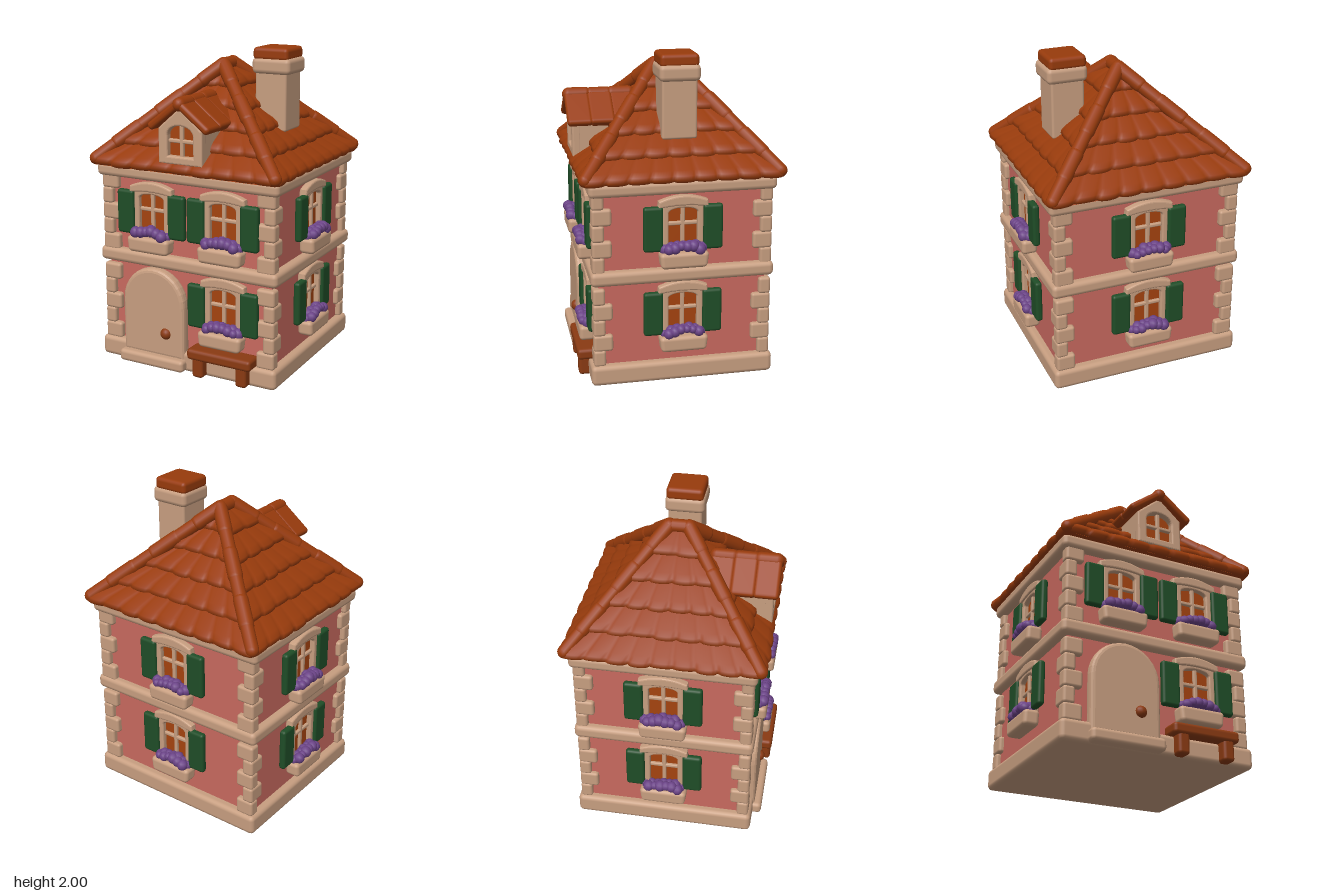
import * as THREE from 'three';
import { RoundedBoxGeometry } from 'three/addons/geometries/RoundedBoxGeometry.js';

const mat = (name, color, side = THREE.FrontSide) => {
  const m = new THREE.MeshStandardMaterial({ color, side });
  m.name = name;
  return m;
};
const M = {
  roof: mat('terracotta roof', 0x983b0c, THREE.DoubleSide),
  stone: mat('cream stone', 0xc79e80),
  wall: mat('pink plaster', 0xc8695f),
  green: mat('shutter green', 0x1f4d27),
  purple: mat('flower purple', 0x6c4488),
  teal: mat('door teal', 0x0a676d),
  wood: mat('bench wood', 0x8a3a12),
  glass: mat('amber glass', 0xa5430f),
};
const ZC = -0.015; // middle of the house in depth

let seed = 7;
const rand = () => (seed = (seed * 16807) % 2147483647) / 2147483647;

function add(parent, name, geo, material, x = 0, y = 0, z = 0) {
  const m = new THREE.Mesh(geo, material);
  m.name = name;
  m.position.set(x, y, z);
  parent.add(m);
  return m;
}
const box = (parent, name, material, w, h, d, x, y, z, r = 0.02) =>
  add(parent, name, new RoundedBoxGeometry(w, h, d, 2, r), material, x, y, z);
const group = (parent, name) => {
  const g = new THREE.Group();
  g.name = name;
  parent.add(g);
  return g;
};

// Upright outline with straight sides and a curved top of the given rise
function archPath(Type, half, bottom, spring, rise) {
  const p = new Type();
  p.moveTo(-half, bottom);
  p.lineTo(half, bottom);
  p.lineTo(half, spring);
  for (let i = 1; i <= 16; i++) {
    const a = (i / 16) * Math.PI;
    p.lineTo(half * Math.cos(a), spring + rise * Math.sin(a));
  }
  p.closePath();
  return p;
}
const extrude = (shape, depth, bevel) => new THREE.ExtrudeGeometry(shape, {
  depth: depth - 2 * bevel, bevelEnabled: bevel > 0, bevelSize: bevel,
  bevelThickness: bevel, bevelOffset: -bevel, bevelSegments: 3, curveSegments: 16,
}).translate(0, 0, bevel);

// Window with shutters, planter and flowers; wall plane is local z = 0
function addWindow(parent, x, y, z, turn) {
  const g = group(parent, 'window');
  g.position.set(x, y, z);
  g.rotation.y = turn;
  const frame = archPath(THREE.Shape, 0.125, 0.29, 0.59, 0.03);
  frame.holes.push(archPath(THREE.Path, 0.088, 0.32, 0.545, 0.03));
  add(g, 'windowFrame', extrude(frame, 0.04, 0.01), M.stone);
  add(g, 'windowGlass', new THREE.BoxGeometry(0.2, 0.27, 0.009), M.glass, 0, 0.45, 0.003);
  box(g, 'windowMullion', M.stone, 0.026, 0.26, 0.024, 0, 0.45, 0.014, 0.008);
  box(g, 'windowCrossbar', M.stone, 0.18, 0.024, 0.024, 0, 0.475, 0.014, 0.008);
  // curved lintel
  const lintel = new THREE.Shape();
  lintel.moveTo(-0.155, 0.575);
  lintel.quadraticCurveTo(0, 0.605, 0.155, 0.575);
  lintel.lineTo(0.15, 0.62);
  lintel.quadraticCurveTo(0, 0.685, -0.15, 0.62);
  lintel.closePath();
  add(g, 'windowLintel', extrude(lintel, 0.05, 0.012), M.stone);
  for (const s of [-1, 1])
    box(g, 'shutter', M.green, 0.12, 0.28, 0.045, s * 0.182, 0.45, 0.034, 0.018);
  // tapered planter
  const planter = new RoundedBoxGeometry(0.3, 0.1, 0.1, 3, 0.025);
  const p = planter.attributes.position;
  for (let i = 0; i < p.count; i++) {
    const k = 0.92 + 0.8 * p.getY(i);
    p.setX(i, p.getX(i) * Math.min(k + 0.05, 1));
  }
  add(g, 'planter', planter, M.stone, 0, 0.26, 0.05);
  for (let i = 0; i < 13; i++) {
    const u = i / 12 * 2 - 1;
    const r = 0.026 + 0.012 * rand();
    add(g, 'flower', new THREE.SphereGeometry(r, 10, 7), M.purple,
      u * 0.112, 0.315 + 0.025 * (1 - u * u) + 0.012 * rand(), i % 2 ? 0.074 : 0.045);
  }
}

// One overlapping course of rounded tiles on a roof face that looks along +z
function tileCourse(depth, half, ridgeHalf, t0, t1) {
  const at = (t) => half + (ridgeHalf - half) * t;
  const tiles = Math.max(2, Math.round((2 * at(t0)) / 0.135));
  const jitter = Array.from({ length: tiles }, () => rand());
  const rows = [[0.005, -0.03], [-0.012, -0.008], [-0.012, 0.012], [0.012, 0.026], [0.06, 0.026], [t1 - t0, 0.002]];
  const cols = tiles * 8;
  const pos = [], index = [];
  rows.forEach(([dt, h], j) => {
    for (let i = 0; i <= cols; i++) {
      const u = i / cols;
      const k = Math.min(tiles - 1, Math.floor(u * tiles));
      const bulge = Math.sqrt(Math.abs(Math.sin(Math.PI * u * tiles)));
      const lip = j < 5 ? bulge : 0;
      const t = t0 + dt - lip * (0.006 + 0.014 * jitter[k]);
      const up = h + (j > 1 ? lip * 0.008 : 0);
      pos.push((u * 2 - 1) * at(t), 1.295 + 0.575 * t + up * 0.72, depth * (1 - t) + up * 0.69);
      if (i < cols && j < rows.length - 1) {
        const a = j * (cols + 1) + i, d = a + cols + 1;
        index.push(a, a + 1, d + 1, a, d + 1, d);
      }
    }
  });
  const g = new THREE.BufferGeometry();
  g.setAttribute('position', new THREE.Float32BufferAttribute(pos, 3));
  g.setIndex(index);
  g.computeVertexNormals();
  return g;
}

function addRoof(parent) {
  const roof = group(parent, 'roof');
  roof.position.z = ZC;
  // solid core under the tiles
  const core = new THREE.CylinderGeometry(0.03, Math.SQRT1_2 * 1.24, 0.57, 4, 1).rotateY(Math.PI / 4);
  add(roof, 'roofCore', core.scale(1, 1, 0.96).toNonIndexed(), M.roof, 0, 1.56, 0);
  for (let f = 0; f < 4; f++) {
    const side = f % 2 === 1;
    const face = group(roof, 'roofFace');
    face.rotation.y = f * Math.PI / 2;
    for (let k = 0; k < 5; k++)
      add(face, 'tileCourse', side
        ? tileCourse(0.63, 0.595, 0.05, k / 5, (k + 1) / 5 + 0.01)
        : tileCourse(0.595, 0.63, 0.005, k / 5, (k + 1) / 5 + 0.01), M.roof);
  }
  // rounded hip tiles up every corner
  const up = new THREE.Vector3(0, 1, 0);
  for (const sx of [-1, 1]) for (const sz of [-1, 1]) {
    const a = new THREE.Vector3(sx * 0.618, 1.315, sz * 0.585);
    const b = new THREE.Vector3(0, 1.875, sz * 0.06);
    const dir = b.clone().sub(a);
    const n = 6, len = dir.length() / n;
    for (let i = 0; i < n; i++) {
      const c = a.clone().addScaledVector(dir, (i + 0.5) / n);
      const tile = add(roof, 'hipTile', new THREE.CapsuleGeometry(0.041 + 0.005 * (i % 2), len, 5, 14), M.roof, c.x, c.y, c.z);
      tile.quaternion.setFromUnitVectors(up, dir.clone().normalize());
    }
  }
  add(roof, 'ridgeTile', new THREE.CapsuleGeometry(0.042, 0.12, 5, 14).rotateX(Math.PI / 2), M.roof, 0, 1.876, 0);
}

function addDormer(parent) {
  const g = group(parent, 'dormer');
  const gable = () => {
    const s = new THREE.Shape();
    [[-0.15, 1.335], [0.15, 1.335], [0.15, 1.55], [0, 1.68], [-0.15, 1.55]].forEach(([x, y], i) =>
      i ? s.lineTo(x, y) : s.moveTo(x, y));
    s.closePath();
    return s;
  };
  add(g, 'dormerWall', extrude(gable(), 0.32, 0), M.stone, 0, 0, 0.22);
  const front = gable();
  front.holes.push(archPath(THREE.Path, 0.088, 1.385, 1.51, 0.06));
  add(g, 'dormerFront', extrude(front, 0.055, 0.012), M.stone, 0, 0, 0.532);
  add(g, 'dormerGlass', new THREE.BoxGeometry(0.2, 0.21, 0.009), M.glass, 0, 1.48, 0.542);
  box(g, 'dormerMullion', M.stone, 0.026, 0.2, 0.026, 0, 1.475, 0.556, 0.008);
  box(g, 'dormerCrossbar', M.stone, 0.18, 0.024, 0.026, 0, 1.475, 0.556, 0.008);
  for (const s of [-1, 1]) for (let i = 0; i < 3; i++) {
    const tile = box(g, 'dormerTile', M.roof, 0.25, 0.05 + 0.008 * (i % 2), 0.155, s * 0.105, 1.625, 0.54 - i * 0.14, 0.022);
    tile.rotation.z = -s * 0.66;
  }
  for (let i = 0; i < 3; i++)
    add(g, 'dormerRidge', new THREE.CapsuleGeometry(0.042 - 0.003 * (i % 2), 0.1, 5, 14).rotateX(Math.PI / 2), M.roof, 0, 1.7, 0.535 - i * 0.135);
}

function addDoor(parent) {
  const g = group(parent, 'frontDoor');
  g.position.set(-0.225, 0, 0.49);
  const frame = archPath(THREE.Shape, 0.223, 0.07, 0.42, 0.225);
  frame.holes.push(archPath(THREE.Path, 0.145, 0.06 + 0.025, 0.405, 0.145));
  add(g, 'doorFrame', extrude(frame, 0.075, 0.025), M.stone);
  add(g, 'doorLeaf', extrude(archPath(THREE.Shape, 0.165, 0.08, 0.405, 0.16), 0.035, 0), M.teal);
  add(g, 'doorPortholeRing', new THREE.TorusGeometry(0.068, 0.019, 10, 28), M.stone, 0.005, 0.4, 0.04);
  for (const a of [0, Math.PI / 2])
    box(g, 'doorPortholeBar', M.stone, 0.13, 0.018, 0.02, 0.005, 0.4, 0.04, 0.007).rotation.z = a;
  add(g, 'doorKnob', new THREE.SphereGeometry(0.038, 16, 12), M.wood, 0.092, 0.232, 0.065);
  box(g, 'doorStep', M.stone, 0.47, 0.078, 0.13, 0, 0.045, 0.055, 0.025);
}

export function createModel() {
  const house = new THREE.Group();
  house.name = 'house';
  // walls and stone bands
  add(house, 'walls', new THREE.BoxGeometry(1.15, 1.2, 1.03), M.wall, 0, 0.65, ZC);
  box(house, 'plinth', M.stone, 1.25, 0.13, 1.14, 0, 0.065, ZC, 0.03);
  box(house, 'floorBand', M.stone, 1.25, 0.09, 1.13, 0, 0.692, ZC, 0.03);
  box(house, 'cornice', M.stone, 1.265, 0.085, 1.14, 0, 1.243, ZC, 0.03);
  // alternating corner blocks
  for (const sx of [-1, 1]) for (const sz of [-1, 1]) for (const y0 of [0.125, 0.725])
    for (let i = 0; i < 5; i++) {
      const w = i % 2 ? 0.075 : 0.12, d = i % 2 ? 0.12 : 0.075;
      box(house, 'cornerBlock', M.stone, w, 0.106, d,
        sx * (0.605 - w / 2), y0 + 0.05 + i * 0.1, ZC + sz * (0.552 - d / 2), 0.018);
    }
  // windows on every side
  addWindow(house, 0.26, 0, 0.5, 0);
  for (const x of [-0.24, 0.26]) addWindow(house, x, 0.54, 0.5, 0);
  for (const y of [0, 0.54]) {
    for (const s of [-1, 1]) addWindow(house, s * 0.575, y, -0.01, s * Math.PI / 2);
    addWindow(house, 0, y, -0.53, Math.PI);
  }
  addDoor(house);
  addRoof(house);
  addDormer(house);
  // chimney
  box(house, 'chimneyStack', M.stone, 0.21, 0.42, 0.215, 0.345, 1.7, -0.022, 0.015);
  box(house, 'chimneyCollar', M.stone, 0.255, 0.1, 0.25, 0.348, 1.888, -0.022, 0.03);
  box(house, 'chimneyCap', M.roof, 0.235, 0.08, 0.235, 0.343, 1.96, -0.022, 0.025);
  // bench
  box(house, 'benchSeat', M.wood, 0.44, 0.07, 0.13, 0.27, 0.157, 0.56, 0.022);
  for (const x of [0.12, 0.42]) box(house, 'benchLeg', M.wood, 0.075, 0.14, 0.1, x, 0.077, 0.565, 0.02);
  return house;
}
